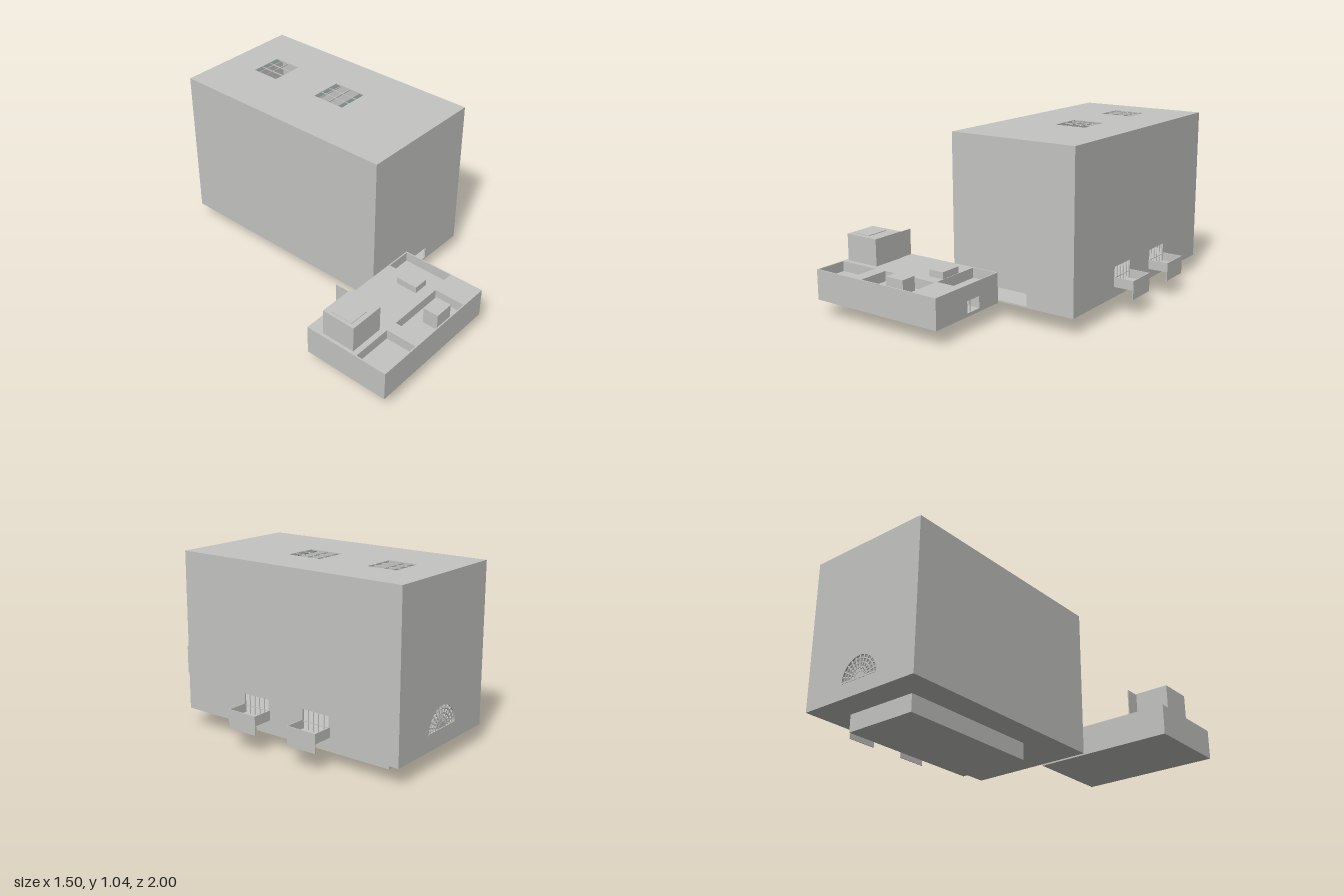
import * as THREE from 'three';

export function createModel() {
  const group = new THREE.Group();
  group.name = 'building';
  const grey = new THREE.MeshStandardMaterial({ name: 'concrete grey', color: 0xc4c4c2 });
  const slate = new THREE.MeshStandardMaterial({ name: 'skylight slate', color: 0x7c8785 });

  const add = (name, geo, mat = grey) => {
    const mesh = new THREE.Mesh(geo, mat);
    mesh.name = name;
    group.add(mesh);
    return mesh;
  };
  // Box given by its limits on each axis
  const box = (name, x0, x1, y0, y1, z0, z1, mat) => {
    const geo = new THREE.BoxGeometry(x1 - x0, y1 - y0, z1 - z0);
    return add(name, geo.translate((x0 + x1) / 2, (y0 + y1) / 2, (z0 + z1) / 2), mat);
  };
  const trace = (path, pts) => path.setFromPoints(pts.map(([a, b]) => new THREE.Vector2(a, b)));
  const rect = (a0, a1, b0, b1) => [[a0, b0], [a1, b0], [a1, b1], [a0, b1]];
  const outline = (pts, holes = []) => {
    const s = trace(new THREE.Shape(), pts);
    for (const h of holes) s.holes.push(trace(new THREE.Path(), h));
    return s;
  };
  const extrude = (shape, depth) =>
    new THREE.ExtrudeGeometry(shape, { depth, bevelEnabled: false, curveSegments: 24 });
  // Horizontal slab from a plan drawn in x and z
  const slab = (name, y0, y1, pts, holes) =>
    add(name, extrude(outline(pts, holes), y1 - y0).rotateX(Math.PI / 2).translate(0, y1, 0));

  // Main hall: limits and wall thickness
  const X0 = -0.19, X1 = 0.62, Y0 = 0.105, Y1 = 1.04, Z0 = -1, Z1 = 0.465, T = 0.01;
  box('foundation', -0.015, 0.45, 0, Y0, -0.83, 0.1);
  box('hallFloor', X0, X1, Y0, Y0 + T, Z0, Z1);
  box('hallLeftFlankWall', X0, X0 + T, Y0, Y1 - T, Z0, Z1);

  // Front wall with a low doorway
  add('hallFrontWall', extrude(outline(rect(X0 + T, X1 - T, Y0, Y1 - T),
    [rect(0.0, 0.315, 0.115, 0.188)]), T).translate(0, 0, Z1 - T));

  // Back wall with a half-round window
  const cx = 0.215, cy = 0.2, R = 0.13;
  const arch = [];
  for (let i = 0; i <= 24; i++) {
    const a = Math.PI * i / 24;
    arch.push([cx + R * Math.cos(a), cy + R * Math.sin(a)]);
  }
  add('hallBackWall', extrude(outline(rect(X0 + T, X1 - T, Y0, Y1 - T), [arch]), T)
    .translate(0, 0, Z0));
  // Fan lattice in the arch
  for (let i = 1; i < 12; i++) {
    const a = Math.PI * i / 12;
    const spoke = new THREE.BoxGeometry(R, 0.009, 0.004).translate(R / 2, 0, 0).rotateZ(a);
    add('archSpoke', spoke.translate(cx, cy, Z0 + 0.005));
  }
  for (const r of [0.035, 0.06, 0.085, 0.11]) {
    add('archRing', new THREE.TorusGeometry(r, 0.005, 4, 24, Math.PI)
      .translate(cx, cy, Z0 + 0.005));
  }
  box('archSill', cx - R, cx + R, cy - 0.006, cy + 0.004, Z0 - 0.002, Z0 + T);

  // Balcony wall: plan coordinate is -z
  const balconies = [[-0.155, 0.035], [-0.57, -0.38]];
  const doors = balconies.map(([a, b]) => rect(-b + 0.005, -a - 0.01, 0.172, 0.285));
  add('hallBalconyWall', extrude(outline(rect(-Z1, -Z0, Y0, Y1 - T), doors), T)
    .rotateY(Math.PI / 2).translate(X1 - T, 0, 0));
  for (const [a, b] of balconies) {
    box('balconyFloor', X1, 0.745, 0.168, 0.174, a, b);
    box('balconyFront', 0.74, 0.745, 0.115, 0.225, a, b);
    box('balconySide', X1, 0.742, 0.17, 0.225, a, a + 0.004);
    box('balconySide', X1, 0.742, 0.17, 0.225, b - 0.004, b);
    for (let i = 1; i < 5; i++) {
      const z = a + 0.01 + (b - a - 0.015) * i / 5;
      box('doorBar', X1 - 0.007, X1 - 0.003, 0.172, 0.285, z - 0.002, z + 0.002);
    }
    box('doorRail', X1 - 0.007, X1 - 0.003, 0.215, 0.219, a + 0.01, b - 0.005);
  }

  // Roof with two barred skylights
  const skylights = [[-0.78, -0.6], [-0.285, -0.07]];
  const sx0 = 0.148, sx1 = 0.348;
  slab('hallRoof', Y1 - T, Y1, rect(X0, X1, Z0, Z1),
    skylights.map(([a, b]) => rect(sx0, sx1, a, b)));
  skylights.forEach(([a, b], i) => {
    for (const x of [0.215, 0.281]) {
      box('skylightBar', x - 0.002, x + 0.002, Y1 - T, Y1 - 0.003, a, b);
    }
    for (const z of [a + 0.035, -0.69 + i * 0.51]) {
      box('skylightBar', sx0, sx1, Y1 - T, Y1 - 0.003, z - 0.002, z + 0.002);
    }
    box('skylightEdge', sx0, sx1, Y1 - T, Y1 - 0.006, a, a + 0.035, slate);
    if (i === 1) box('skylightEdge', sx0, sx1, Y1 - T, Y1 - 0.006, b - 0.035, b, slate);
  });

  // Low annex, stacked in layers: floor, side window niche, ceiling, sunken roof courts
  const AX0 = -0.75, AX1 = 0.12, AZ0 = 0.465, AZ1 = 1;
  slab('annexFloor', 0.095, 0.115, rect(AX0, AX1, AZ0, AZ1));
  slab('annexNicheLayer', 0.115, 0.185, [[AX0, AZ0], [AX1, AZ0], [AX1, 0.635], [-0.03, 0.635],
    [-0.03, 0.74], [AX1, 0.74], [AX1, AZ1], [AX0, AZ1]]);
  slab('annexCeiling', 0.185, 0.215, rect(AX0, AX1, AZ0, AZ1));
  slab('annexRoof', 0.215, 0.275, rect(AX0, AX1, AZ0, AZ1), [
    rect(-0.742, -0.487, 0.803, 0.992),
    rect(-0.412, -0.05, 0.803, 0.992),
    rect(-0.047, 0.113, 0.473, 0.788),
  ]);
  box('nicheMullion', 0.108, 0.114, 0.115, 0.185, 0.705, 0.711);

  // Rooftop blocks
  box('tower', -0.73, -0.51, 0.275, 0.435, 0.56, 0.77);
  box('towerCap', -0.71, -0.59, 0.435, 0.439, 0.6, 0.74);
  box('towerFin', -0.522, -0.516, 0.275, 0.43, 0.47, 0.56);
  box('roofBlock', -0.145, -0.05, 0.275, 0.315, 0.6, 0.735);
  box('courtBlock', -0.255, -0.135, 0.215, 0.315, 0.87, 0.965);

  return group;
}
